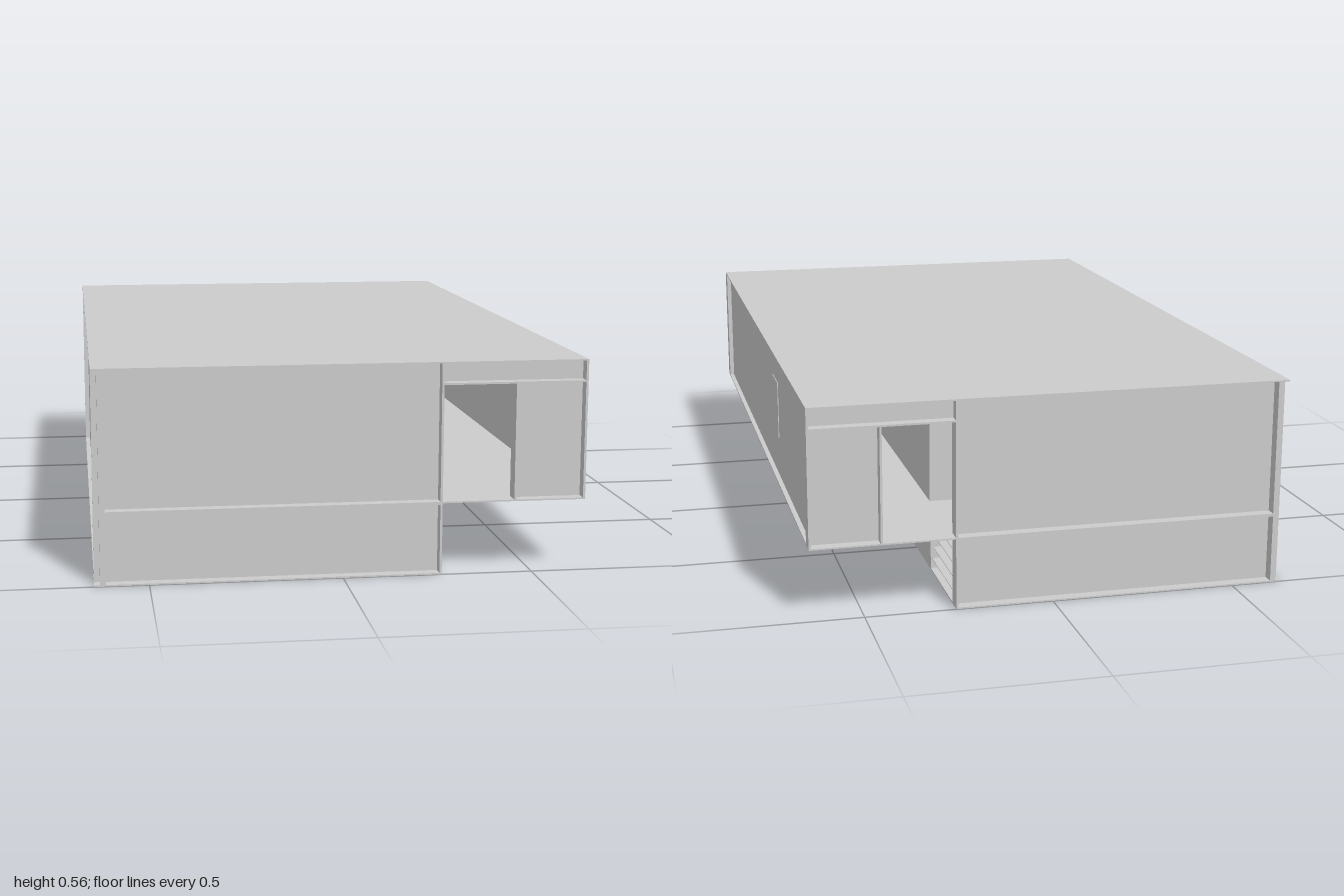
import * as THREE from 'three';

export function createModel() {
  const model = new THREE.Group();
  const grey = new THREE.MeshStandardMaterial({ color: 0xcccccc, flatShading: true, side: THREE.DoubleSide });

  // Box given by its extents along each axis
  function block(name, [x0, x1], [y0, y1], [z0, z1], parent = model) {
    const mesh = new THREE.Mesh(new THREE.BoxGeometry(x1 - x0, y1 - y0, z1 - z0), grey);
    mesh.position.set((x0 + x1) / 2, (y0 + y1) / 2, (z0 + z1) / 2);
    mesh.name = name;
    parent.add(mesh);
    return mesh;
  }

  const H = 0.56, W = 0.64, F = 0.19, T = 0.004;
  const inner = 0.26, recess = 0.105, face = 0.97, bay = 0.68;

  // Roof, ground plate and raised walkway floor
  block('roof', [-W, W], [H - T, H], [-1, 1]);
  block('groundPlate', [-W, inner], [0, T], [-1, 1]);
  block('walkwayFloor', [recess, W], [F, F + T], [-1, 1]);

  // Main hall, narrowed at both ends to leave entrance bays
  block('mainHall', [-0.61, recess], [T, H - T], [-face, face]);
  block('hallSide', [recess, inner], [T, H - T], [-bay, bay]);
  block('leftWall', [-0.625, -0.61], [T, H - T], [-1, 1]);

  // Raised outer wall with a flush hatch
  block('outerWall', [0.612, 0.627], [F, H - T], [-face, face]);
  block('sideHatch', [0.627, 0.629], [0.31, 0.47], [-0.35, -0.24]);

  // Both ends: panels, projecting ribs and the slatted step bays
  for (const s of [1, -1]) {
    const end = new THREE.Group();
    end.name = s > 0 ? 'frontEnd' : 'backEnd';
    model.add(end);
    const span = (a, b) => (s > 0 ? [a, b] : [-b, -a]);
    const rib = span(face, 1), skin = span(face - 0.015, face);

    block('endPanel', [-W, inner], [T, H - T], skin, end);
    block('walkwayPanel', [0.45, W], [F, H - T], skin, end);
    block('lintelPanel', [inner, 0.45], [0.5, H - T], skin, end);

    block('middleRail', [-0.61, inner], [F - T, F + T], rib, end);
    block('lintelRail', [inner, W], [0.5, 0.505], rib, end);
    block('cornerRib', [-0.615, -0.61], [T, H - T], rib, end);
    block('innerRib', [inner - 0.006, inner], [T, H - T], rib, end);
    block('openingRib', [0.45, 0.456], [F, 0.5], rib, end);
    block('outerRib', [W - 0.006, W], [F, H - T], rib, end);

    // Post beside the steps, then the thin open treads
    block('stepPost', [inner - 0.03, inner], [T, F], span(0.66, 0.69), end);
    for (let i = 1; i <= 5; i++) {
      const y = i * F / 6;
      block('stepTread', [recess, inner - 0.004 * i], [y - 0.001, y + 0.001], span(0.68, face), end);
    }
  }
  return model;
}
